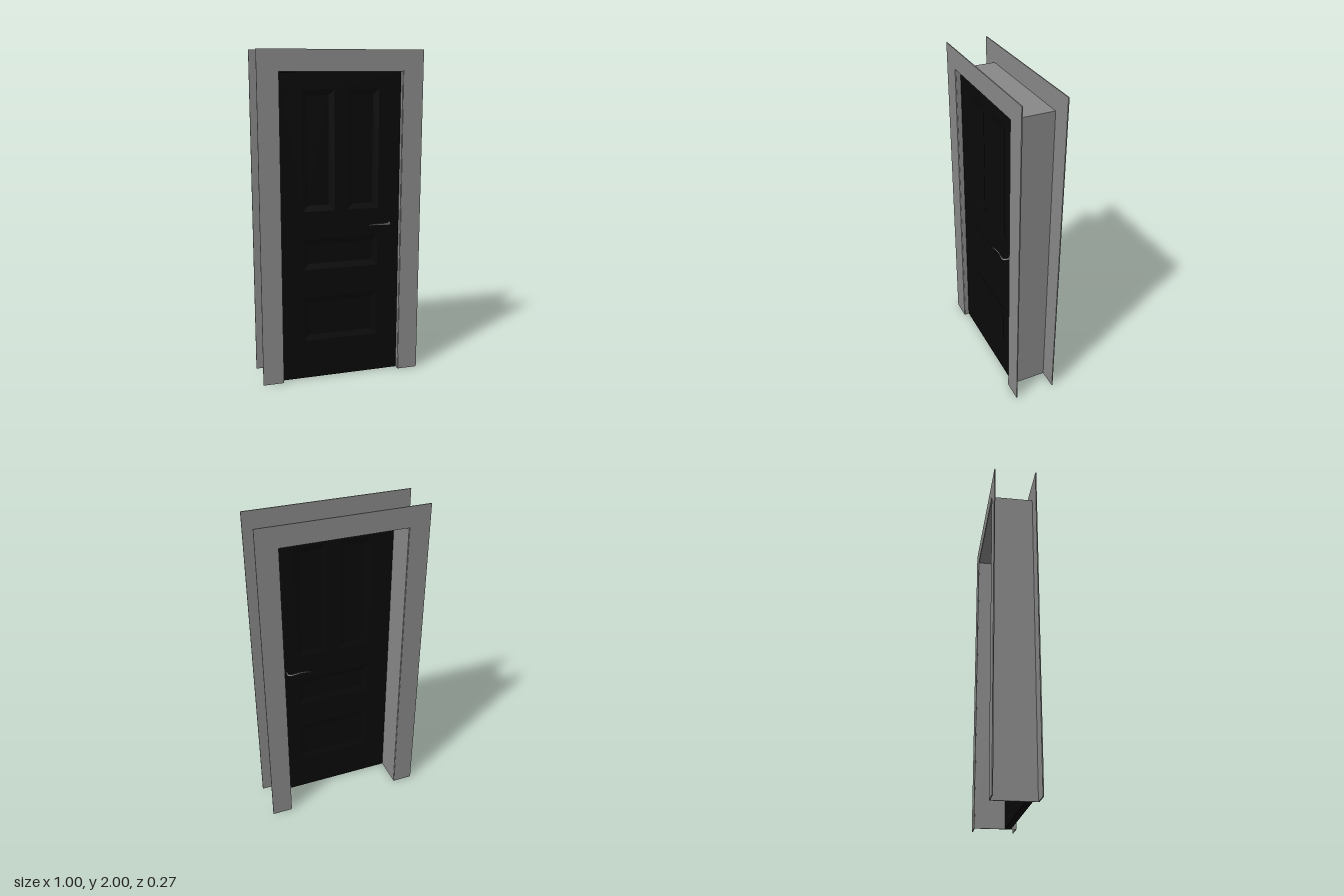
import * as THREE from 'three';

const grey = new THREE.MeshStandardMaterial({ color: 0x888888 });
const black = new THREE.MeshStandardMaterial({ color: 0x090909 });

const DOOR_BACK = 0.053, DOOR_FRONT = 0.09, DOOR_MID = (DOOR_BACK + DOOR_FRONT) / 2;

function add(parent, name, geometry, material) {
  const mesh = new THREE.Mesh(geometry, material);
  mesh.name = name;
  parent.add(mesh);
  return mesh;
}

function box(parent, name, x0, x1, y0, y1, z0, z1, material) {
  const mesh = add(parent, name, new THREE.BoxGeometry(x1 - x0, y1 - y0, z1 - z0), material);
  mesh.position.set((x0 + x1) / 2, (y0 + y1) / 2, (z0 + z1) / 2);
}

const corners = (x0, x1, y0, y1) => [[x0, y0], [x1, y0], [x1, y1], [x0, y1]];
const toVectors = (points) => points.map(([x, y]) => new THREE.Vector2(x, y));

// Flat U-shaped trim around the opening
function casing(z) {
  const outline = [[-0.5, 0], [-0.375, 0], [-0.375, 1.88], [0.375, 1.88],
    [0.375, 0], [0.5, 0], [0.5, 2], [-0.5, 2]];
  const g = new THREE.ExtrudeGeometry(new THREE.Shape(toVectors(outline)), { depth: 0.006, bevelEnabled: false });
  return g.translate(0, 0, z);
}

// Sunken panel: sloped border on both faces down to a flat field
function sunkenPanel(x0, x1, y0, y1) {
  const b = 0.034, d = 0.011;
  const outer = corners(x0, x1, y0, y1);
  const inner = corners(x0 + b, x1 - b, y0 + b, y1 - b);
  const pos = [];
  const quad = (p, q, r, s) => pos.push(...p, ...q, ...r, ...p, ...r, ...s);
  for (const side of [1, -1]) {
    const zo = side > 0 ? DOOR_FRONT : DOOR_BACK;
    const o = outer.map(([x, y]) => [x, y, zo]);
    const n = inner.map(([x, y]) => [x, y, zo - side * d]);
    const face = (p, q, r, s) => (side > 0 ? quad(p, q, r, s) : quad(s, r, q, p));
    for (let i = 0; i < 4; i++) {
      const j = (i + 1) % 4;
      face(o[i], o[j], n[j], n[i]);
    }
    face(...n);
  }
  const g = new THREE.BufferGeometry();
  g.setAttribute('position', new THREE.Float32BufferAttribute(pos, 3));
  g.computeVertexNormals();
  return g;
}

// Wavy lever: a tube that thins towards its tip; side is 1 for front, -1 for back
function lever(side) {
  const path = [[0.306, 0.085], [0.308, 0.113], [0.298, 0.126], [0.265, 0.126],
    [0.235, 0.122], [0.2, 0.124], [0.164, 0.134]];
  const curve = new THREE.CatmullRomCurve3(path.map(([x, z]) =>
    new THREE.Vector3(x, 0.963, DOOR_MID + side * (z - DOOR_MID))));
  const rings = 48, sides = 12;
  const g = new THREE.TubeGeometry(curve, rings, 0.0075, sides);
  const p = g.attributes.position, v = new THREE.Vector3();
  for (let i = 0; i <= rings; i++) {
    const t = i / rings, centre = curve.getPointAt(t);
    const k = i === rings ? 0 : 1 - 0.5 * t;
    for (let j = 0; j <= sides; j++) {
      const n = i * (sides + 1) + j;
      v.fromBufferAttribute(p, n).sub(centre);
      v.set(v.x * k * 0.6, v.y * k, v.z * k * 0.6).add(centre);
      p.setXYZ(n, v.x, v.y, v.z);
    }
  }
  g.computeVertexNormals();
  return g;
}

export function createModel() {
  const model = new THREE.Group();
  model.name = 'framedDoor';

  // Frame: trim on both wall faces, joined by the lining
  const frame = new THREE.Group();
  frame.name = 'frame';
  model.add(frame);
  add(frame, 'frontCasing', casing(0.116), grey);
  add(frame, 'backCasing', casing(-0.137), grey);
  box(frame, 'leftJamb', 0.372, 0.38, 0, 1.88, -0.133, 0.117, grey);
  box(frame, 'rightJamb', -0.38, -0.372, 0, 1.88, -0.133, 0.117, grey);
  box(frame, 'headJamb', -0.372, 0.372, 1.875, 1.88, -0.133, 0.117, grey);

  // Door leaf with four openings, each filled by a sunken panel
  const door = new THREE.Group();
  door.name = 'door';
  model.add(door);
  const panels = [
    [-0.235, -0.04, 1.06, 1.775],
    [0.04, 0.235, 1.06, 1.775],
    [-0.235, 0.235, 0.7, 0.89],
    [-0.235, 0.235, 0.245, 0.525],
  ];
  const leaf = new THREE.Shape(toVectors(corners(-0.371, 0.371, 0.002, 1.874)));
  for (const p of panels) leaf.holes.push(new THREE.Path(toVectors(corners(...p))));
  const leafGeometry = new THREE.ExtrudeGeometry(leaf, { depth: DOOR_FRONT - DOOR_BACK, bevelEnabled: false });
  add(door, 'doorLeaf', leafGeometry.translate(0, 0, DOOR_BACK), black);
  for (const p of panels) add(door, 'sunkenPanel', sunkenPanel(...p), black);

  // Levers and keyhole plates on both faces
  for (const side of [1, -1]) {
    const name = side > 0 ? 'front' : 'back';
    add(door, name + 'Lever', lever(side), grey);
    const z = side > 0 ? DOOR_FRONT : DOOR_BACK;
    const plate = add(door, name + 'Keyhole', new THREE.CylinderGeometry(0.01, 0.01, 0.003, 20), black);
    plate.rotation.x = Math.PI / 2;
    plate.position.set(0.305, 0.89, z);
  }
  return model;
}
